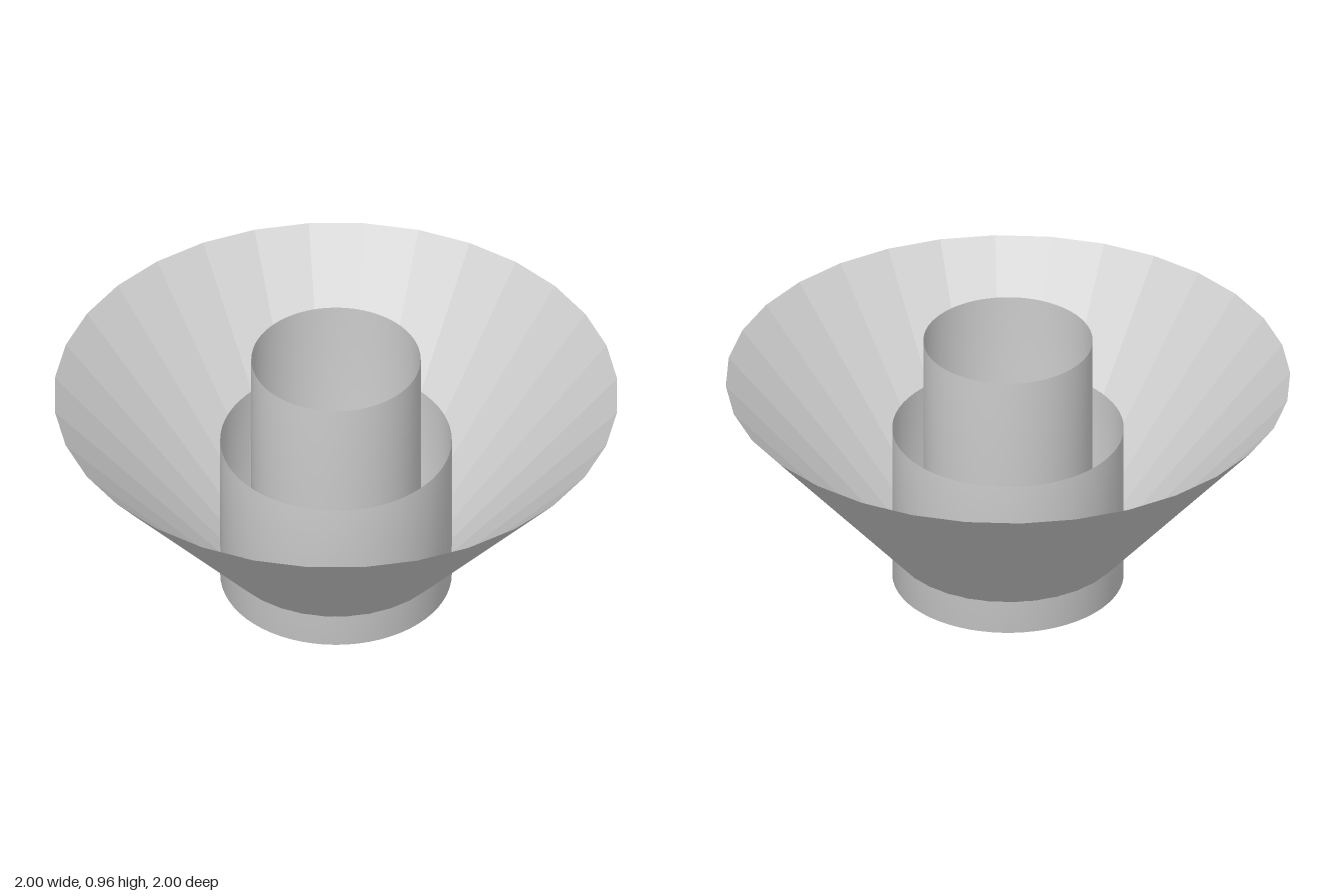
import * as THREE from 'three';

const material = new THREE.MeshStandardMaterial({ color: 0xcccccc, side: THREE.DoubleSide });
const flatMaterial = new THREE.MeshStandardMaterial({ color: 0xcccccc, side: THREE.DoubleSide, flatShading: true });

// Thin open-topped cup with a closed floor; the floor blends softly into the wall
function cup(name, radius, inset, bottom, top) {
  const group = new THREE.Group();
  group.name = name;

  const profile = [[inset, bottom], [radius, bottom], [radius, top]]
    .map(([r, y]) => new THREE.Vector2(r, y));
  const wall = new THREE.Mesh(new THREE.LatheGeometry(profile, 64), material);
  wall.name = name + 'Wall';

  const floor = new THREE.Mesh(new THREE.CircleGeometry(inset, 64), material);
  floor.name = name + 'Floor';
  floor.rotation.x = Math.PI / 2;
  floor.position.y = bottom;

  group.add(wall, floor);
  return group;
}

export function createModel() {
  const model = new THREE.Group();
  model.name = 'funnelWithTubes';

  // Faceted flaring cone, open at both ends
  const cone = new THREE.Mesh(new THREE.CylinderGeometry(1, 0.3, 0.8, 32, 1, true), flatMaterial);
  cone.name = 'flaredCone';
  cone.position.y = 0.4;
  model.add(cone);

  // Wide base cup and the taller narrow tube standing in it
  model.add(cup('baseCup', 0.41, 0.31, 0, 0.6));
  model.add(cup('innerTube', 0.3, 0.21, 0.01, 0.96));

  return model;
}
